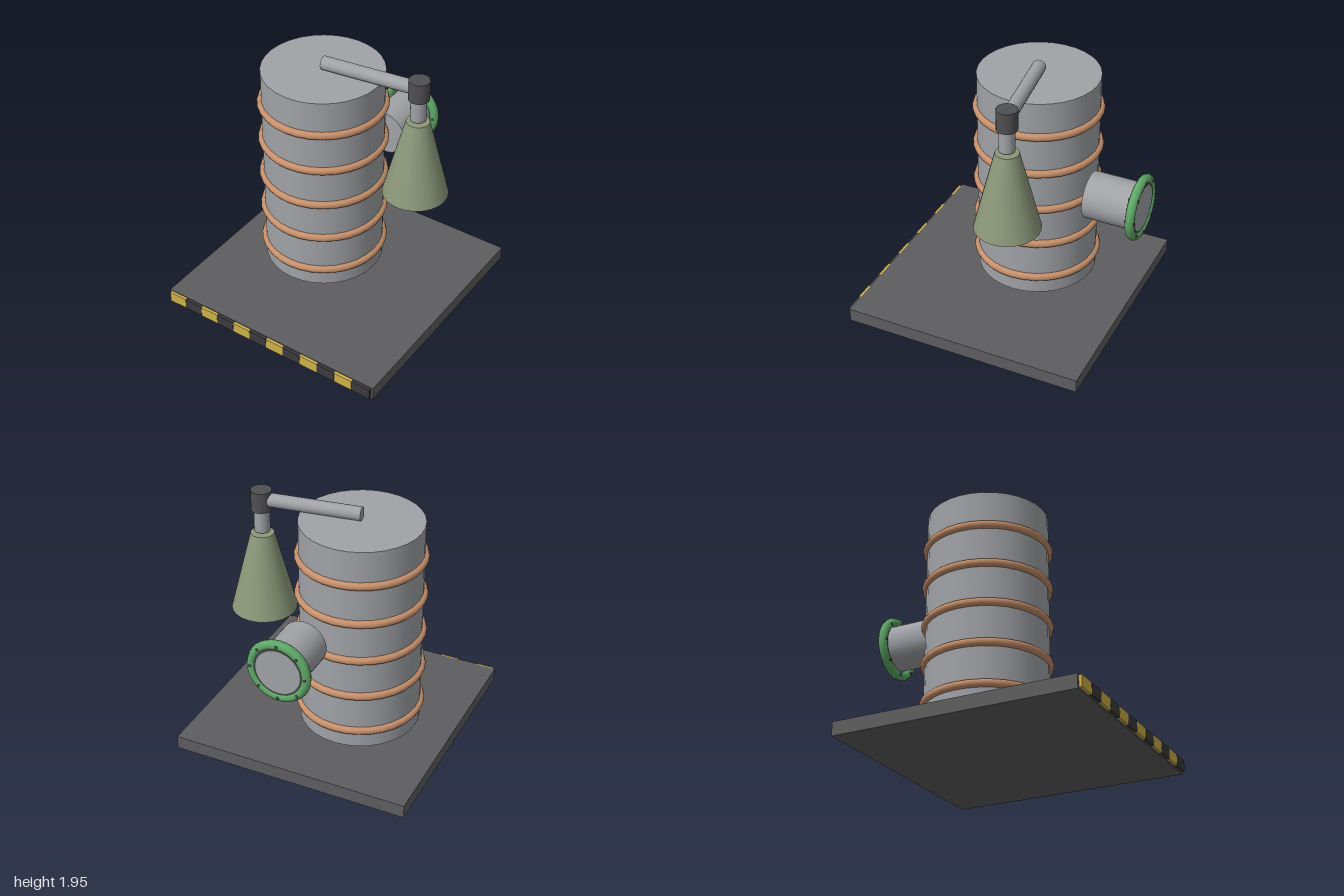
import * as THREE from 'three';

const paint = (name, color) => {
  const m = new THREE.MeshStandardMaterial({ color });
  m.name = name;
  return m;
};

export function createModel() {
  const steel = paint('steel grey', 0xa0a2a6);
  const plate = paint('plate grey', 0x5e5e60);
  const copper = paint('copper', 0xc8916c);
  const olive = paint('olive', 0x8c987a);
  const green = paint('flange green', 0x5fa868);
  const yellow = paint('hazard yellow', 0xcdb04a);
  const black = paint('hazard black', 0x3a3a3c);
  const iron = paint('dark iron', 0x505052);

  const model = new THREE.Group();
  model.name = 'tankWithSprayArm';
  const add = (name, geometry, material, x, y, z) => {
    const mesh = new THREE.Mesh(geometry, material);
    mesh.name = name;
    mesh.position.set(x, y, z);
    model.add(mesh);
    return mesh;
  };

  // Base plate with a hazard strip along the front edge
  add('basePlate', new THREE.BoxGeometry(1.856, 0.105, 1.86), plate, 0, 0.0525, 0.045);
  const block = new THREE.BoxGeometry(0.15, 0.085, 0.025);
  for (let i = 0; i < 12; i++) {
    add('hazardBlock', block, i % 2 ? black : yellow, (i - 5.5) * 0.152, 0.056, 0.9855);
  }

  // Tank and its hoops
  const tx = -0.208, tz = -0.06;
  add('tank', new THREE.CylinderGeometry(0.455, 0.455, 1.655, 32), steel, tx, 0.9975, tz);
  const hoop = new THREE.TorusGeometry(0.455, 0.031, 8, 32).rotateX(Math.PI / 2);
  for (let i = 0; i < 5; i++) add('hoop', hoop, copper, tx, 0.315 + i * 0.31, tz);

  // Arm from the tank's centre to the elbow
  const from = new THREE.Vector3(tx, 1.873, tz);
  const to = new THREE.Vector3(0.537, 1.873, -0.162);
  const dir = to.clone().sub(from);
  const mid = from.clone().add(to).multiplyScalar(0.5);
  const arm = add('arm', new THREE.CylinderGeometry(0.052, 0.052, dir.length(), 16), steel, mid.x, mid.y, mid.z);
  arm.quaternion.setFromUnitVectors(new THREE.Vector3(0, 1, 0), dir.normalize());

  // Elbow, drop pipe and cone
  add('elbow', new THREE.CylinderGeometry(0.078, 0.078, 0.157, 16), iron, to.x, 1.868, to.z);
  add('dropPipe', new THREE.CylinderGeometry(0.059, 0.059, 0.22, 16), steel, to.x, 1.73, to.z);
  add('cone', new THREE.CylinderGeometry(0.087, 0.246, 0.625, 24), olive, to.x, 1.2875, to.z);

  // Rear port with flange, gasket and bolts
  const py = 1.04;
  add('port', new THREE.CylinderGeometry(0.177, 0.177, 0.395, 32).rotateX(Math.PI / 2), steel, 0, py, -0.7725);
  add('flange', new THREE.TorusGeometry(0.212, 0.036, 8, 32), green, 0, py, -0.96);
  add('gasket', new THREE.RingGeometry(0.17, 0.205, 32).rotateY(Math.PI), iron, 0, py, -0.982);
  add('portCover', new THREE.CircleGeometry(0.172, 32).rotateY(Math.PI), steel, 0, py, -0.984);
  const bolt = new THREE.CylinderGeometry(0.012, 0.012, 0.076, 8).rotateX(Math.PI / 2);
  for (let i = 0; i < 8; i++) {
    const a = (i * Math.PI) / 4;
    add('bolt', bolt, iron, 0.212 * Math.cos(a), py + 0.212 * Math.sin(a), -0.96);
  }
  return model;
}
